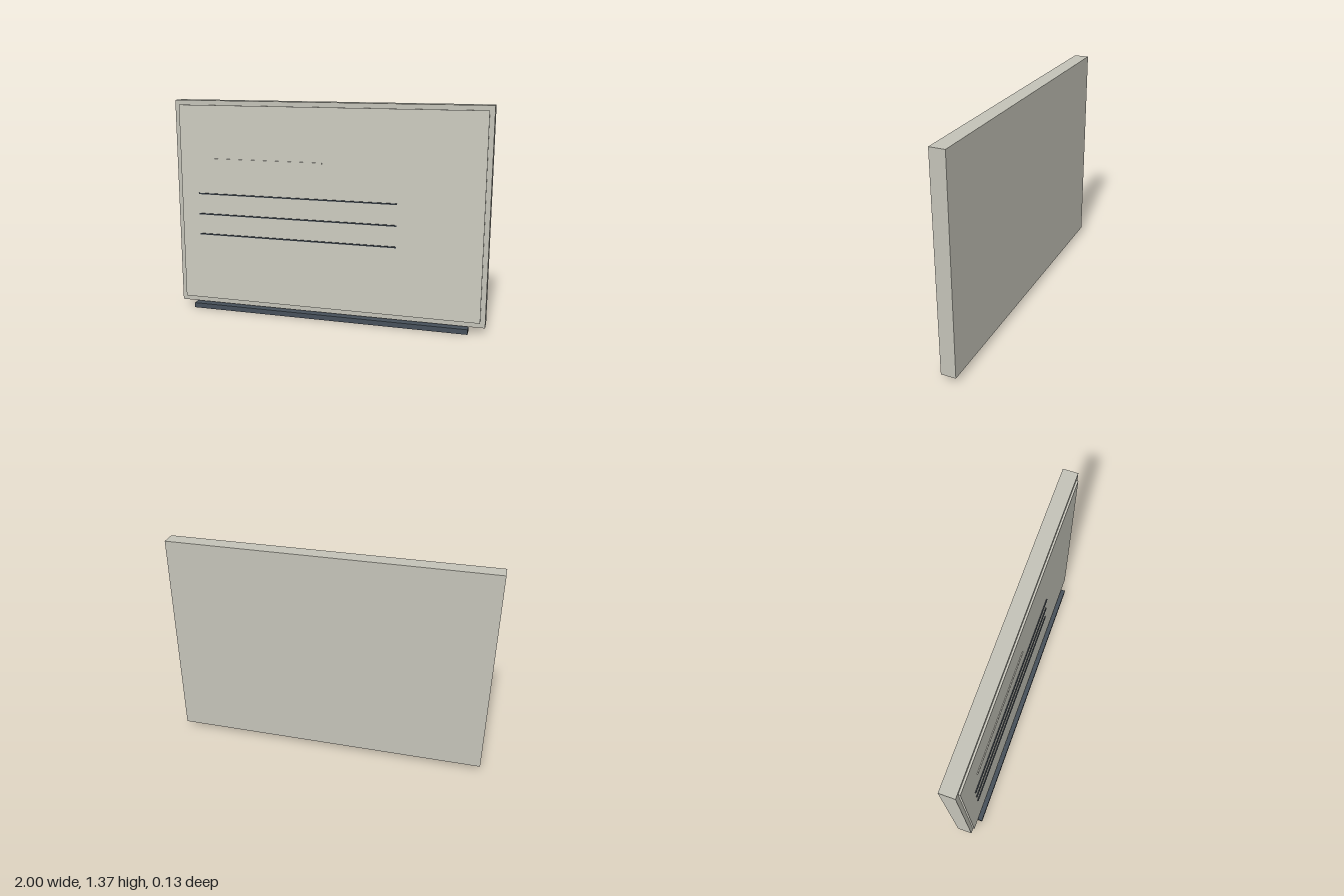
import * as THREE from 'three';

export function createModel() {
  const group = new THREE.Group();
  const paint = (color) => new THREE.MeshStandardMaterial({ color });
  const frameMat = paint(0xc4c3b8);
  const panelMat = paint(0xcccbc0);
  const trayMat = paint(0x46505a);
  const lineMat = paint(0x343b42);

  // Box given by its limits on each axis
  function block(name, [x0, x1], [y0, y1], [z0, z1], material) {
    const mesh = new THREE.Mesh(new THREE.BoxGeometry(x1 - x0, y1 - y0, z1 - z0), material);
    mesh.position.set((x0 + x1) / 2, (y0 + y1) / 2, (z0 + z1) / 2);
    mesh.name = name;
    group.add(mesh);
  }

  // Backing board with the raised writing surface
  block('board', [-1, 1], [0.038, 1.37], [-0.065, 0.029], frameMat);
  block('writingSurface', [-0.97, 0.97], [0.069, 1.341], [0.025, 0.041], panelMat);

  // Ledge below the board
  block('tray', [-0.9, 0.9], [0, 0.032], [-0.009, 0.066], trayMat);

  // Heading stroke and three text strokes
  block('headingLine', [-0.783, -0.02], [0.994, 1.004], [0.038, 0.047], panelMat);
  for (let i = 0; i < 3; i++) {
    const y = 0.773 - i * 0.134;
    block('textLine' + (i + 1), [-0.85, 0.45], [y - 0.004, y + 0.004], [0.038, 0.048], lineMat);
  }

  return group;
}
